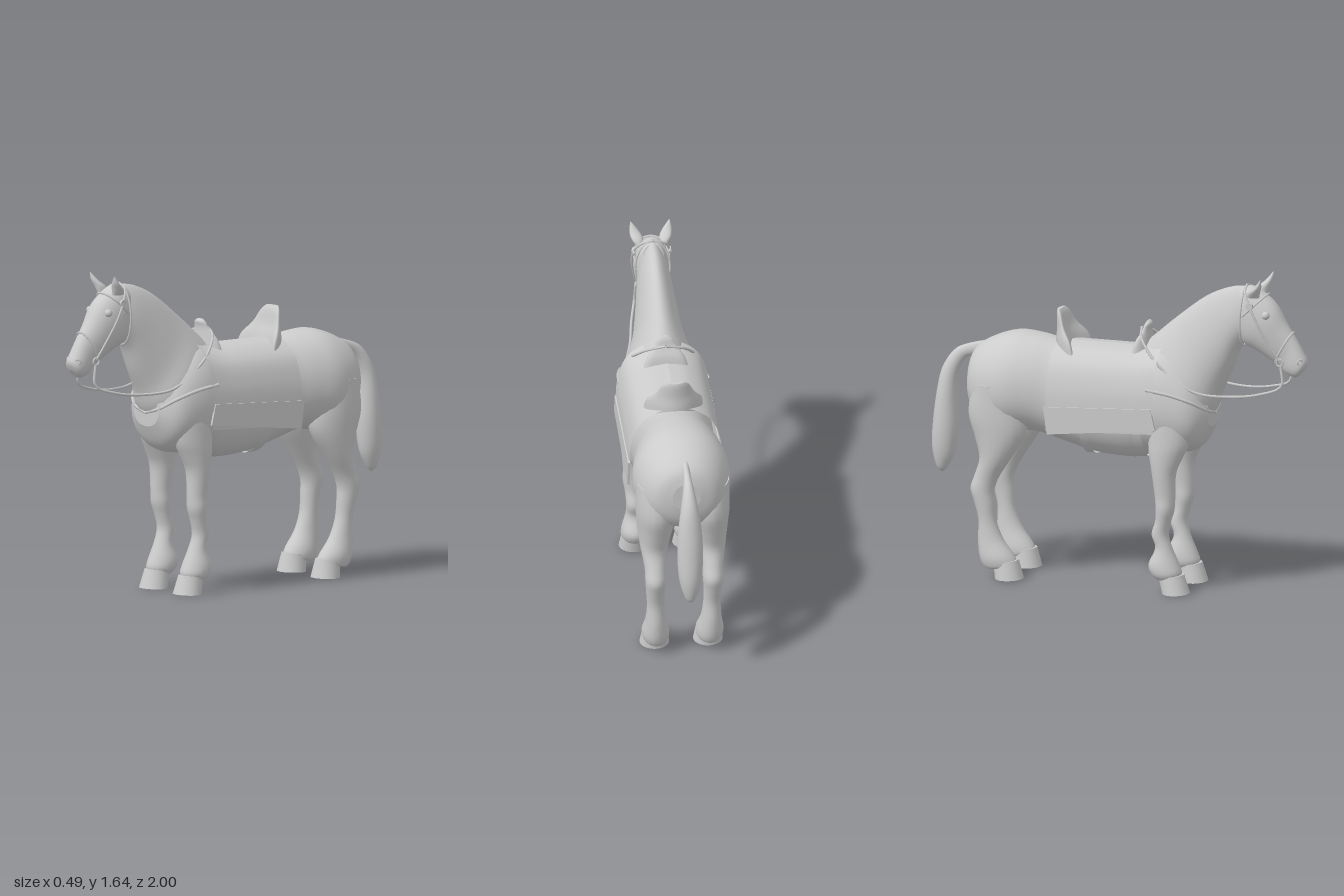
import * as THREE from 'three';
import { ParametricGeometry } from 'three/addons/geometries/ParametricGeometry.js';

const grey = new THREE.MeshStandardMaterial({ color: 0xcccccc, side: THREE.DoubleSide });

// Smooth interpolation through a list of number rows
function spline(rows, t) {
  const n = rows.length - 1, i = Math.min(Math.floor(t * n), n - 1), f = t * n - i;
  const at = k => rows[Math.max(0, Math.min(n, k))];
  return rows[i].map((b, c) => {
    const a = at(i - 1)[c], d = at(i + 1)[c], e = at(i + 2)[c];
    return b + 0.5 * f * (d - a + f * (2 * a - 5 * b + 4 * d - e + f * (3 * (b - d) + e - a)));
  });
}

// Skin over oval sections [z1, y1, z2, y2, halfWidth, centreX] between two outline points
function loft(rows, { seg = 28, steps = 4, taper = 0, bend = 0, power = 1, caps = true } = {}) {
  rows = rows.map(r => [...r, 0].slice(0, 6));
  const count = (rows.length - 1) * steps, pos = [], idx = [];
  const ring = r => {
    for (let j = 0; j < seg; j++) {
      const a = j / seg * Math.PI * 2, s0 = Math.sin(a), c0 = Math.cos(a);
      const s = Math.sign(s0) * Math.abs(s0) ** power, c = Math.sign(c0) * Math.abs(c0) ** power;
      const x = c * r[4] * (1 - taper * s), k = (1 + s) / 2;
      pos.push(r[5] + x, r[3] + (r[1] - r[3]) * k, r[2] + (r[0] - r[2]) * k + bend * x * x);
    }
  };
  for (let i = 0; i <= count; i++) ring(spline(rows, i / count));
  for (let i = 0; i < count; i++) for (let j = 0; j < seg; j++) {
    const a = i * seg + j, b = i * seg + (j + 1) % seg;
    idx.push(a, b, a + seg, b, b + seg, a + seg);
  }
  if (caps) [rows[0], rows[rows.length - 1]].forEach((r, e) => {
    const base = pos.length / 3;
    ring(r);
    pos.push(r[5], (r[1] + r[3]) / 2, (r[0] + r[2]) / 2);
    for (let j = 0; j < seg; j++) {
      const a = base + j, b = base + (j + 1) % seg;
      idx.push(base + seg, e ? a : b, e ? b : a);
    }
  });
  // Turn faces outward by the sign of the enclosed volume
  const p = i => new THREE.Vector3().fromArray(pos, i * 3);
  const mid = p(0).add(p(seg * (count >> 1) + (seg >> 1))).multiplyScalar(0.5);
  let vol = 0;
  for (let i = 0; i < idx.length; i += 3)
    vol += p(idx[i]).sub(mid).dot(p(idx[i + 1]).sub(mid).cross(p(idx[i + 2]).sub(mid)));
  if (vol < 0) idx.reverse();
  const g = new THREE.BufferGeometry();
  g.setAttribute('position', new THREE.Float32BufferAttribute(pos, 3));
  g.setIndex(idx);
  g.computeVertexNormals();
  return g;
}

function tube(points, r, closed = false) {
  const curve = new THREE.CatmullRomCurve3(points.map(p => new THREE.Vector3(...p)), closed);
  return new THREE.TubeGeometry(curve, 48, r, 6, closed);
}

// Strap around an oval between two outline points
function strap([z1, y1, z2, y2, w], r = 0.006) {
  const pts = [];
  for (let j = 0; j < 20; j++) {
    const a = j / 20 * Math.PI * 2, k = (1 + Math.sin(a)) / 2;
    pts.push([w * Math.cos(a), y2 + (y1 - y2) * k, z2 + (z1 - z2) * k]);
  }
  return tube(pts, r, true);
}

export function createModel() {
  const model = new THREE.Group();
  const add = (name, geo, x = 0, y = 0, z = 0) => {
    const m = new THREE.Mesh(geo, grey);
    m.name = name;
    m.position.set(x, y, z);
    model.add(m);
    return m;
  };

  // Trunk: z, top, bottom, half width
  const trunk = [
    [-0.78, 1.08, 0.93, 0.07], [-0.755, 1.15, 0.84, 0.15], [-0.68, 1.205, 0.77, 0.21], [-0.55, 1.25, 0.74, 0.245],
    [-0.42, 1.245, 0.75, 0.225], [-0.3, 1.225, 0.72, 0.205], [-0.1, 1.215, 0.67, 0.212], [0.1, 1.225, 0.66, 0.212],
    [0.2, 1.26, 0.69, 0.212], [0.3, 1.26, 0.7, 0.215], [0.4, 1.19, 0.715, 0.205], [0.46, 1.11, 0.76, 0.17], [0.505, 1.03, 0.85, 0.1],
  ];
  add('body', loft(trunk.map(([z, t, b, w]) => [z, t, z, b, w]), { seg: 40, taper: 0.06, power: 0.94 }));

  add('neck', loft([
    [0.08, 1.21, 0.42, 0.8, 0.17], [0.185, 1.29, 0.515, 0.93, 0.165], [0.3, 1.39, 0.55, 1.03, 0.125],
    [0.46, 1.515, 0.6, 1.14, 0.1], [0.59, 1.575, 0.64, 1.25, 0.085], [0.69, 1.59, 0.68, 1.31, 0.07],
  ], { taper: 0.25 }));

  add('head', loft([
    [0.66, 1.585, 0.62, 1.43, 0.055], [0.72, 1.588, 0.635, 1.36, 0.078], [0.79, 1.545, 0.67, 1.295, 0.088],
    [0.845, 1.49, 0.73, 1.265, 0.084], [0.89, 1.41, 0.8, 1.225, 0.068], [0.94, 1.335, 0.855, 1.19, 0.054],
    [0.98, 1.265, 0.89, 1.155, 0.054], [1.0, 1.22, 0.935, 1.138, 0.047], [0.985, 1.18, 0.957, 1.145, 0.025],
  ], { power: 0.9 }));

  add('tail', loft([
    [-0.67, 1.195, -0.69, 1.1, 0.022], [-0.79, 1.165, -0.785, 1.1, 0.02], [-0.875, 1.125, -0.83, 1.07, 0.028],
    [-0.94, 1.03, -0.86, 0.99, 0.045], [-0.97, 0.9, -0.865, 0.88, 0.06], [-0.99, 0.74, -0.86, 0.74, 0.065],
    [-0.995, 0.62, -0.875, 0.6, 0.055], [-0.975, 0.52, -0.91, 0.52, 0.03], [-0.95, 0.487, -0.935, 0.487, 0.006],
  ], { seg: 20 }));

  const foreleg = [
    [0.44, 0.92, 0.2, 0.92, 0.075, 0.13], [0.42, 0.78, 0.205, 0.79, 0.075, 0.135], [0.385, 0.7, 0.21, 0.72, 0.07, 0.14],
    [0.352, 0.62, 0.227, 0.62, 0.06, 0.145], [0.347, 0.5, 0.243, 0.5, 0.05, 0.145], [0.343, 0.43, 0.248, 0.44, 0.052, 0.145],
    [0.325, 0.37, 0.245, 0.37, 0.044, 0.143], [0.312, 0.3, 0.224, 0.3, 0.042, 0.14], [0.33, 0.23, 0.243, 0.23, 0.047, 0.137],
    [0.36, 0.16, 0.207, 0.145, 0.068, 0.135], [0.378, 0.11, 0.222, 0.095, 0.07, 0.135], [0.37, 0.08, 0.25, 0.07, 0.055, 0.135],
  ];
  const hindLeg = [
    [-0.47, 1.02, -0.73, 1.0, 0.105, 0.13], [-0.44, 0.85, -0.752, 0.85, 0.105, 0.132], [-0.455, 0.74, -0.715, 0.72, 0.09, 0.138],
    [-0.527, 0.62, -0.69, 0.62, 0.07, 0.145], [-0.59, 0.52, -0.715, 0.53, 0.054, 0.145], [-0.615, 0.45, -0.738, 0.46, 0.052, 0.145],
    [-0.613, 0.38, -0.72, 0.39, 0.047, 0.145], [-0.605, 0.29, -0.698, 0.3, 0.044, 0.142], [-0.57, 0.2, -0.7, 0.19, 0.052, 0.14],
    [-0.52, 0.13, -0.69, 0.1, 0.068, 0.138], [-0.5, 0.095, -0.665, 0.05, 0.066, 0.135], [-0.5, 0.07, -0.63, 0.05, 0.055, 0.135],
  ];
  const foreHoof = [[0.39, 0.1, 0.26, 0.085, 0.06, 0.135], [0.42, 0.005, 0.28, 0, 0.075, 0.135]];
  const hindHoof = [[-0.49, 0.1, -0.62, 0.085, 0.06, 0.135], [-0.465, 0.005, -0.61, 0, 0.075, 0.135]];

  // Saddle skirt panel outline, in -z and y
  const panel = new THREE.Shape([[-0.25, 0.965], [0.32, 0.93], [0.3, 0.79], [-0.275, 0.86]].map(p => new THREE.Vector2(...p)));
  const panelGeo = new THREE.ExtrudeGeometry(panel, { depth: 0.012, bevelEnabled: false }).rotateY(Math.PI / 2);

  for (const [s, side] of [[1, 'left'], [-1, 'right']]) {
    const flip = rows => rows.map(r => [...r.slice(0, 5), r[5] * s]);
    add(side + 'Foreleg', loft(flip(foreleg), { seg: 20 }));
    add(side + 'HindLeg', loft(flip(hindLeg), { seg: 20 }));
    add(side + 'ForeHoof', loft(flip(foreHoof), { seg: 20 }));
    add(side + 'HindHoof', loft(flip(hindHoof), { seg: 20 }));
    add(side + 'Ear', loft(flip([
      [0.765, 1.545, 0.7, 1.545, 0.022, 0.06], [0.775, 1.58, 0.715, 1.575, 0.03, 0.072],
      [0.785, 1.61, 0.75, 1.605, 0.022, 0.085], [0.788, 1.645, 0.782, 1.645, 0.003, 0.097],
    ]), { seg: 14 }));
    add(side + 'Eye', new THREE.SphereGeometry(0.02, 14, 10), s * 0.073, 1.46, 0.805);
    add(side + 'Nostril', new THREE.TorusGeometry(0.013, 0.005, 6, 14), s * 0.04, 1.225, 0.975).rotation.y = s * 0.8;
    add(side + 'BitRing', new THREE.TorusGeometry(0.018, 0.005, 6, 18), s * 0.062, 1.22, 0.875).rotation.y = Math.PI / 2;
    add(side + 'Rosette', new THREE.CylinderGeometry(0.018, 0.018, 0.012, 16), s * 0.092, 1.505, 0.725).rotation.z = Math.PI / 2;
    add(side + 'CheekStrap', tube([[s * 0.062, 1.23, 0.872], [s * 0.077, 1.31, 0.825], [s * 0.094, 1.42, 0.765],
      [s * 0.092, 1.505, 0.725], [s * 0.06, 1.57, 0.69], [0, 1.595, 0.68]], 0.006));
    add(side + 'Rein', tube([[s * 0.062, 1.205, 0.88], [s * 0.07, 1.1, 0.885], [s * 0.095, 1.055, 0.78], [s * 0.12, 1.035, 0.62],
      [s * 0.155, 1.05, 0.46], [s * 0.165, 1.12, 0.34], [s * 0.155, 1.2, 0.24], [s * 0.09, 1.29, 0.15], [0, 1.325, 0.12]], 0.007));
    add(side + 'BreastStrap', tube([[0, 0.92, 0.508], [s * 0.1, 0.95, 0.497], [s * 0.175, 1.0, 0.445], [s * 0.212, 1.04, 0.34],
      [s * 0.225, 1.06, 0.22]], 0.009));
    add(side + 'SkirtPanel', panelGeo, s > 0 ? 0.23 : -0.242);
  }

  // Bridle bands
  add('browBand', strap([0.79, 1.552, 0.645, 1.41, 0.088]));
  add('noseBand', strap([0.925, 1.365, 0.835, 1.2, 0.062]));
  add('throatLash', strap([0.68, 1.59, 0.665, 1.28, 0.088], 0.005));

  // Saddle blanket draped over the back
  const drape = [[0.234, 0.82], [0.236, 0.92], [0.226, 1.04], [0.185, 1.15], [0.1, 1.215], [0, 1.235]];
  add('saddleBlanket', new ParametricGeometry((u, v, p) => {
    const side = u < 0.5 ? 1 : -1, k = 1 - Math.abs(u * 2 - 1);
    const [x, y] = spline(drape, k), rise = 0.04 * Math.max(0, (v - 0.7) / 0.3) ** 2 * k;
    p.set(side * x, y + rise + 0.03 * (v - 0.5) * (1 - k), -0.31 + 0.57 * v);
  }, 48, 16));

  // Girth straps
  for (const z of [0.165, -0.12])
    add('girth', loft([-0.022, 0.022].map(d => [z + d, 1.225, z + d, z > 0 ? 0.667 : 0.662, 0.222]), { seg: 40, taper: 0.06, power: 0.94, caps: false }));

  add('cantle', loft([
    [-0.23, 1.17, -0.33, 1.17, 0.15], [-0.25, 1.24, -0.33, 1.24, 0.14], [-0.275, 1.3, -0.325, 1.3, 0.1],
    [-0.29, 1.36, -0.328, 1.365, 0.07], [-0.305, 1.387, -0.325, 1.387, 0.045],
  ], { bend: 3.5 }));
  add('pommel', loft([
    [0.19, 1.18, 0.09, 1.18, 0.12], [0.175, 1.26, 0.105, 1.26, 0.095], [0.17, 1.32, 0.13, 1.31, 0.055],
    [0.175, 1.35, 0.14, 1.345, 0.04], [0.165, 1.363, 0.15, 1.363, 0.02],
  ], { bend: -2 }));

  return model;
}
